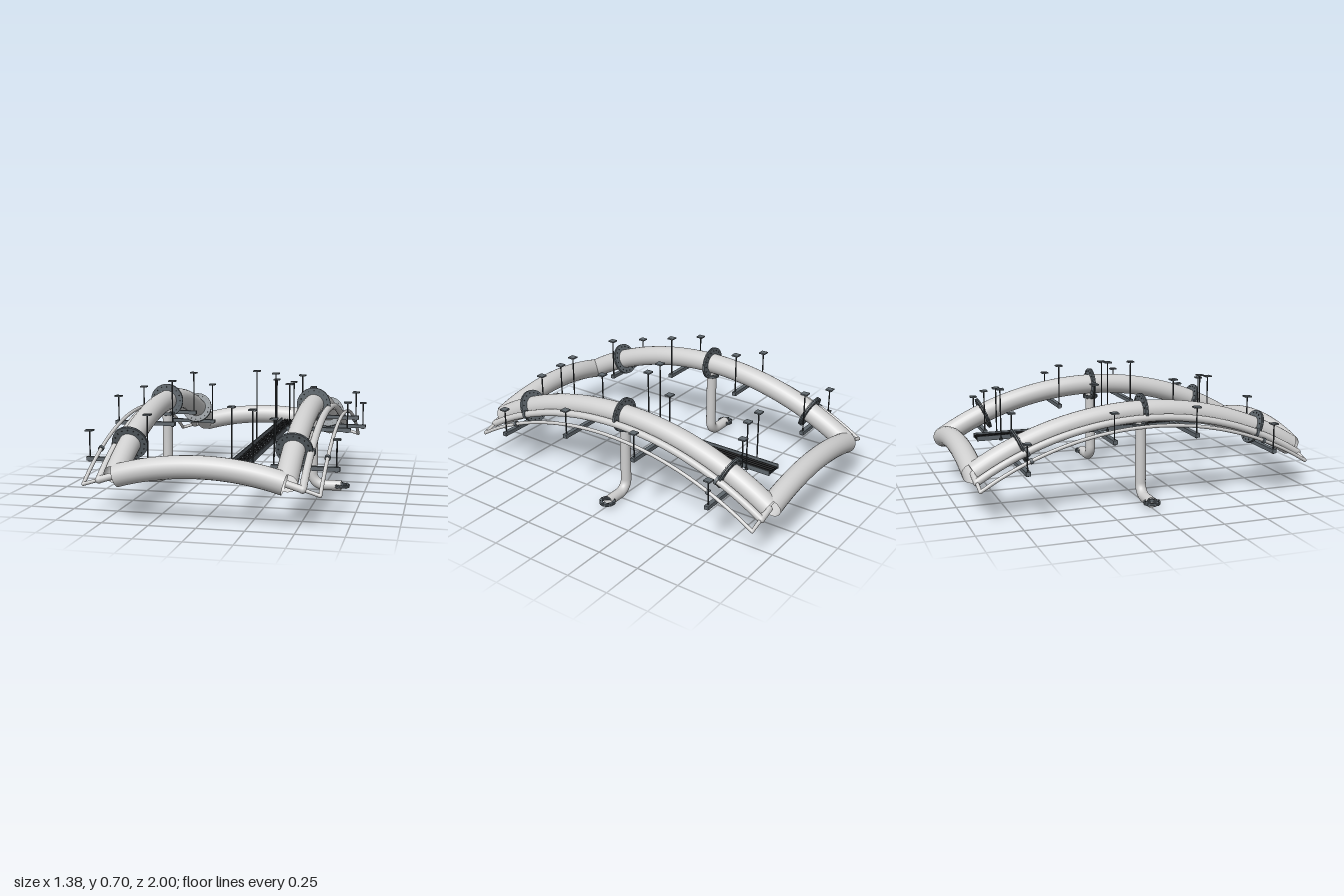
import * as THREE from 'three';

const mat = (name, color, side = THREE.FrontSide) => {
  const m = new THREE.MeshStandardMaterial({ color, side });
  m.name = name;
  return m;
};
const V = (x, y, z) => new THREE.Vector3(x, y, z);

// Height of the arched side run and of the shallower end run
const sideY = z => 0.51 - 1.77 + Math.sqrt(1.77 ** 2 - z * z);
const endY = x => 0.305 - 1.555 + Math.sqrt(1.555 ** 2 - x * x);

export function createModel() {
  const root = new THREE.Group();
  root.name = 'ductAndPipeAssembly';
  const galvanised = mat('galvanised', 0xcfcfcf, THREE.DoubleSide);
  const steel = mat('steel', 0x60686e);
  const darkSteel = mat('dark steel', 0x34393d);
  const black = mat('cable black', 0x1b1c1e);

  const add = (parent, name, geo, material, pos = [0, 0, 0]) => {
    const m = new THREE.Mesh(geo, material);
    m.name = name;
    m.position.set(...pos);
    parent.add(m);
    return m;
  };
  const box = (parent, name, size, pos, material) =>
    add(parent, name, new THREE.BoxGeometry(...size), material, pos);
  const tube = (parent, name, pts, r, material, seg = 48, sides = 24) =>
    add(parent, name, new THREE.TubeGeometry(new THREE.CatmullRomCurve3(pts), seg, r, sides), material);
  const arc = (n, half, f) =>
    Array.from({ length: n + 1 }, (_, i) => f(-half + (2 * half * i) / n));
  const rod = (parent, name, a, b, r, material, sides = 12) => {
    const d = b.clone().sub(a);
    const m = add(parent, name, new THREE.CylinderGeometry(r, r, d.length(), sides), material);
    m.position.copy(a).add(b).multiplyScalar(0.5);
    m.quaternion.setFromUnitVectors(V(0, 1, 0), d.normalize());
    return m;
  };

  // Pair of bolted rings around an axis direction
  const flange = (parent, name, pos, dir, inner, outer, bolts) => {
    const g = new THREE.Group();
    g.name = name;
    const shape = new THREE.Shape().absarc(0, 0, outer, 0, Math.PI * 2);
    shape.holes.push(new THREE.Path().absarc(0, 0, inner, 0, Math.PI * 2, true));
    const ring = new THREE.ExtrudeGeometry(shape, { depth: 0.007, bevelEnabled: false, curveSegments: 32 });
    for (const z of [-0.008, 0.001]) add(g, 'ring', ring, steel, [0, 0, z]);
    const bolt = new THREE.CylinderGeometry(0.0035, 0.0035, 0.024, 6).rotateX(Math.PI / 2);
    const r = inner + (outer - inner) * 0.6;
    for (let i = 0; i < bolts; i++) {
      const a = (i / bolts) * Math.PI * 2;
      add(g, 'bolt', bolt, darkSteel, [r * Math.cos(a), r * Math.sin(a), 0]);
    }
    g.position.copy(pos);
    g.quaternion.setFromUnitVectors(V(0, 0, 1), dir.clone().normalize());
    parent.add(g);
  };

  // Threaded hanger rod with ceiling plate
  const hanger = (parent, x, z, bottom, top) => {
    rod(parent, 'hangerRod', V(x, bottom, z), V(x, top, z), 0.004, darkSteel, 8);
    box(parent, 'ceilingPlate', [0.04, 0.008, 0.04], [x, top - 0.002, z], steel);
    rod(parent, 'hangerNut', V(x, bottom - 0.004, z), V(x, bottom + 0.006, z), 0.009, darkSteel, 6);
  };

  // End ducts
  for (const s of [-1, 1]) {
    tube(root, 'endDuct', arc(20, 0.44, x => V(x, endY(x), s * 0.94)), 0.06, galvanised);
  }

  for (const s of [-1, 1]) {
    const side = new THREE.Group();
    side.name = s > 0 ? 'leftRun' : 'rightRun';
    root.add(side);

    // Main arched duct and its flanges
    tube(side, 'sideDuct', arc(24, 0.935, z => V(s * 0.445, sideY(z), z)), 0.06, galvanised, 64);
    for (const z of [-0.69, 0, 0.69]) {
      flange(side, 'ductFlange', V(s * 0.445, sideY(z), z), V(0, -z, sideY(z) + 1.26), 0.058, 0.098, 16);
    }

    // Parallel service pipes and their couplings
    const pipes = [[0.53, -0.023, 0.02, 'largePipe'], [0.617, -0.05, 0.01, 'smallPipe']];
    for (const [x, dy, r, name] of pipes) {
      tube(side, name, arc(24, 0.94, z => V(s * x, sideY(z) + dy, z)), r, galvanised, 64, 16);
      for (const z of [-0.67, 0.67]) {
        const c = V(s * x, sideY(z) + dy, z);
        const t = V(0, -z, sideY(z) + 1.26).normalize().multiplyScalar(0.008);
        rod(side, 'pipeCoupling', c.clone().sub(t), c.clone().add(t), r + 0.006, steel, 16);
      }
    }

    // Cross connections at both ends
    for (const e of [-1, 1]) {
      const z = e * 0.94, y = sideY(0.94);
      rod(side, 'smallConnection', V(s * 0.617, y - 0.05, z), V(s * 0.53, y - 0.023, z), 0.01, galvanised, 16);
      rod(side, 'largeConnection', V(s * 0.53, y - 0.023, z), V(s * 0.445, y + 0.003, z), 0.019, galvanised, 16);
      add(side, 'smallElbow', new THREE.SphereGeometry(0.0102, 16, 10), galvanised, [s * 0.617, y - 0.05, z]);
      add(side, 'largeElbow', new THREE.SphereGeometry(0.0202, 16, 10), galvanised, [s * 0.53, y - 0.023, z]);
    }

    // Drop pipe with outward elbow
    const path = new THREE.CurvePath();
    path.add(new THREE.LineCurve3(V(s * 0.443, 0.47, 0), V(s * 0.443, 0.105, 0)));
    const bend = 0.07, k = bend * 0.448;
    path.add(new THREE.CubicBezierCurve3(V(s * 0.443, 0.105, 0), V(s * 0.443, 0.035 + k, 0),
      V(s * (0.443 + k), 0.035, 0), V(s * 0.513, 0.035, 0)));
    path.add(new THREE.LineCurve3(V(s * 0.513, 0.035, 0), V(s * 0.615, 0.035, 0)));
    add(side, 'dropPipe', new THREE.TubeGeometry(path, 80, 0.03, 24), galvanised);
    flange(side, 'dropCollar', V(s * 0.443, 0.432, 0), V(0, 1, 0), 0.029, 0.046, 8);
    flange(side, 'outletFlange', V(s * 0.617, 0.035, 0), V(0, 1, 0), 0.029, 0.046, 8);

    // Trapeze supports
    for (const [zz, y] of [[0.235, 0.405], [0.705, 0.278]]) for (const e of [-1, 1]) {
      const g = new THREE.Group();
      g.name = 'trapezeSupport';
      side.add(g);
      box(g, 'crossbar', [0.36, 0.022, 0.025], [s * 0.506, y, e * zz], steel);
      hanger(g, s * 0.342, e * zz, y - 0.012, y + 0.251);
      hanger(g, s * 0.668, e * zz, y - 0.012, y + 0.156);
    }
  }

  // Cable tray: rails, rungs, cables and hangers
  const tray = new THREE.Group();
  tray.name = 'cableTray';
  root.add(tray);
  for (const x of [0.116, 0.212]) box(tray, 'trayRail', [0.006, 0.028, 1.6], [x, 0.29, 0], steel);
  for (let i = 0; i <= 22; i++) {
    box(tray, 'trayRung', [0.092, 0.008, 0.012], [0.164, 0.282, -0.792 + i * 0.072], darkSteel);
  }
  for (let i = 0; i < 4; i++) {
    const x = 0.137 + i * 0.018;
    rod(tray, 'cable', V(x, 0.292, -0.8), V(x, 0.292, 0.8), 0.0055, black, 10);
  }
  for (const [z, top] of [[-0.66, 0.578], [0, 0.7], [0.66, 0.578]]) {
    hanger(tray, 0.107, z, 0.28, top);
    hanger(tray, 0.22, z, 0.28, top - 0.012);
    box(tray, 'trayBracket', [0.125, 0.006, 0.016], [0.1635, 0.275, z], steel);
  }
  return root;
}
